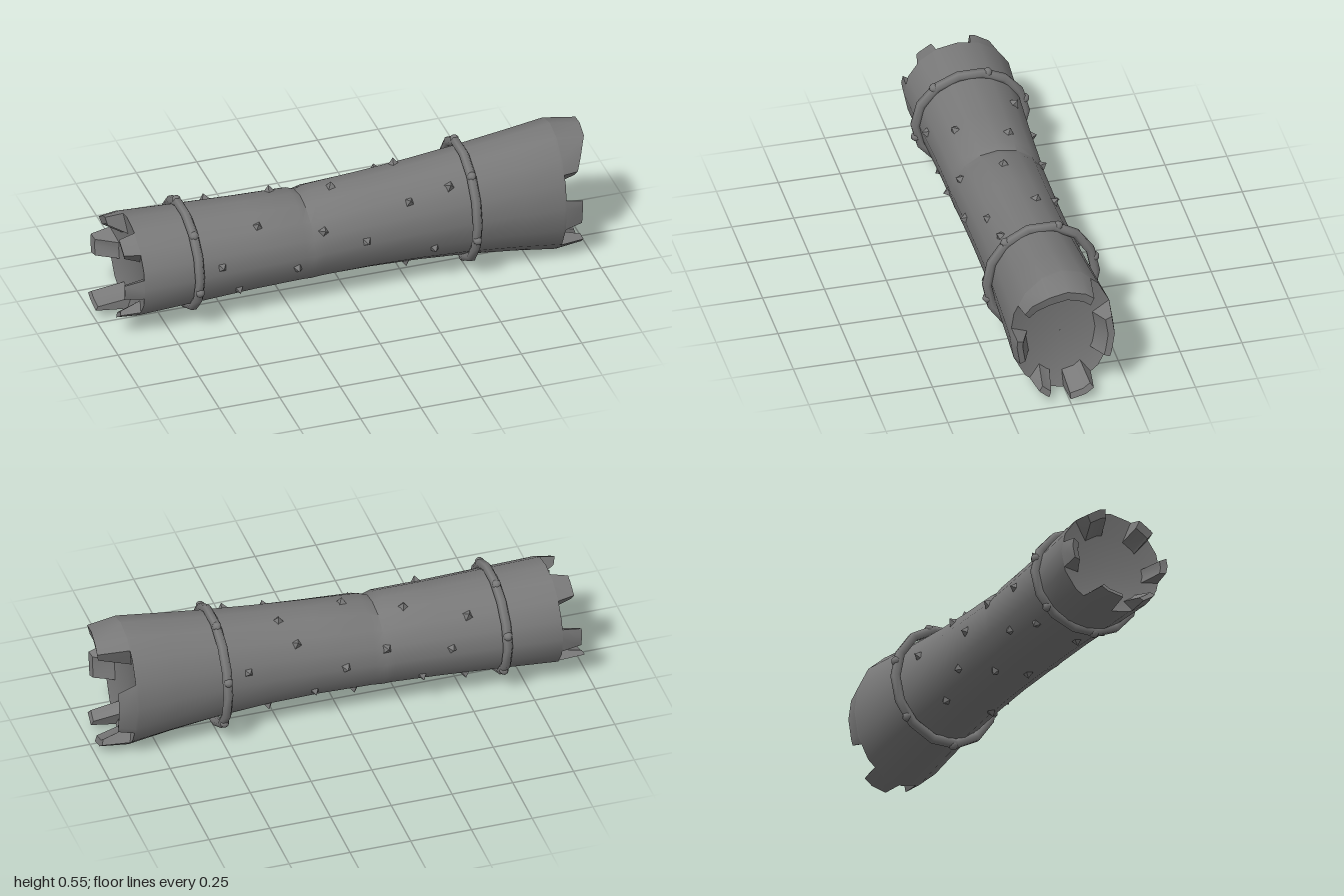
import * as THREE from 'three';
import { toCreasedNormals } from 'three/addons/utils/BufferGeometryUtils.js';

const STEP = 22.5; // 16 sides

// Hull stations: x, bottom, top, back z, front z
const STATIONS = [
  [-1.0, 0.035, 0.465, -0.235, 0.215], [-0.88, 0.038, 0.458, -0.228, 0.212],
  [-0.65, 0.052, 0.45, -0.212, 0.207], [-0.4, 0.066, 0.443, -0.196, 0.2],
  [-0.2, 0.073, 0.441, -0.186, 0.199], [-0.165, 0.073, 0.427, -0.184, 0.198],
  [-0.12, 0.074, 0.443, -0.181, 0.197], [0.1, 0.074, 0.461, -0.175, 0.195],
  [0.3, 0.066, 0.48, -0.174, 0.196], [0.5, 0.05, 0.503, -0.18, 0.2],
  [0.7, 0.025, 0.53, -0.19, 0.209], [0.86, 0.0, 0.553, -0.2, 0.217],
  [1.0, 0.0, 0.553, -0.2, 0.217],
];

function station(x) {
  let i = 0;
  while (i < STATIONS.length - 2 && x > STATIONS[i + 1][0]) i++;
  const a = STATIONS[i], b = STATIONS[i + 1];
  const t = (x - a[0]) / (b[0] - a[0]);
  const [, lo, hi, back, front] = a.map((v, k) => v + (b[k] - v) * t);
  return { cy: (lo + hi) / 2, ry: (hi - lo) / 2, cz: (back + front) / 2, rz: (front - back) / 2 };
}

// Point on the 16-sided hull; 0 degrees is the front, 90 the top.
// Inner outlines (f < 1) sit a little lower than the outer one.
function hullPoint(x, deg, f = 1) {
  const s = station(x);
  const cy = s.cy - Math.min(0.07 * (1 - f), 0.024);
  const at = (d) => {
    const r = THREE.MathUtils.degToRad(d);
    return new THREE.Vector3(x, cy + f * s.ry * Math.sin(r), s.cz + f * s.rz * Math.cos(r));
  };
  const k = Math.floor(deg / STEP) * STEP;
  return at(k).lerp(at(k + STEP), (deg - k) / STEP);
}

// Outward direction across the hull
function hullNormal(x, deg) {
  const s = station(x), r = THREE.MathUtils.degToRad(deg);
  return new THREE.Vector3(0, Math.sin(r) / s.ry, Math.cos(r) / s.rz).normalize();
}

function quadGeometry(quads, flip = false) {
  const pos = [];
  for (const [a, b, c, d] of quads) {
    const order = flip ? [a, c, b, a, d, c] : [a, b, c, a, c, d];
    for (const p of order) pos.push(p.x, p.y, p.z);
  }
  const g = new THREE.BufferGeometry();
  g.setAttribute('position', new THREE.Float32BufferAttribute(pos, 3));
  return toCreasedNormals(g, 0.6);
}

// Hollow-ended shaft: end disc, sloped rim, hull, rim, end disc
function shaftGeometry() {
  const rows = [[-0.85, 0.002], [-0.86, 0.68], [-0.875, 1],
    ...STATIONS.slice(2, -1).map((s) => [s[0], 1]),
    [0.87, 1], [0.85, 0.68], [0.84, 0.002]];
  const quads = [];
  for (let i = 0; i < rows.length - 1; i++) {
    const [x0, f0] = rows[i], [x1, f1] = rows[i + 1];
    for (let a = 0; a < 360; a += STEP) {
      quads.push([hullPoint(x0, a, f0), hullPoint(x1, a, f1),
        hullPoint(x1, a + STEP, f1), hullPoint(x0, a + STEP, f0)]);
    }
  }
  return quadGeometry(quads);
}

// Curved tooth on the rim between angles a0 and a1, its tip running from
// tip0 to tip1 and narrowed by an inset on each side
function toothGeometry(base, [a0, a1, tip0, tip1, inset0, inset1]) {
  const angles = [a0];
  for (let a = (Math.floor(a0 / STEP) + 1) * STEP; a < a1; a += STEP) angles.push(a);
  angles.push(a1);
  const dir = Math.sign(base);
  const loops = angles.map((a) => {
    const u = (a - a0) / (a1 - a0);
    const tip = THREE.MathUtils.lerp(tip0, tip1, u);
    const t = THREE.MathUtils.lerp(a0 + inset0, a1 - inset1, u);
    return [hullPoint(base, a), hullPoint(tip, t, 0.95),
      hullPoint(tip - dir * 0.008, t, 0.83), hullPoint(base - dir * 0.018, a, 0.67)];
  });
  const quads = [];
  for (let i = 0; i < loops.length - 1; i++) {
    const p = loops[i], q = loops[i + 1];
    for (let k = 0; k < 3; k++) quads.push([p[k], p[k + 1], q[k + 1], q[k]]);
  }
  quads.push([...loops[0]].reverse(), loops[loops.length - 1]);
  return quadGeometry(quads, dir < 0);
}

// Teeth: start angle, end angle, tip x at each, side insets.
// The first two on the right join into one broad tongue.
const RIGHT_TEETH = [
  [68, 125, 0.985, 1.0, 0, 4], [31, 68, 0.93, 0.985, 2, 0], [-22, 8, 0.94, 0.94, 3, 3],
  [157, 210, 0.94, 0.94, 5, 5], [235, 268, 0.98, 0.98, 3, 1], [289, 309, 0.97, 0.97, 3, 3],
];
const LEFT_TEETH = [
  [-12, 12, -0.955, -0.955, 3, 3], [40, 66, -0.94, -0.94, 3, 3], [103, 136, -0.945, -0.945, 4, 4],
  [168, 198, -0.955, -0.955, 3, 3], [236, 271, -1.0, -1.0, 4, 4], [297, 321, -0.955, -0.955, 3, 3],
];

// Spikes: x, angle
const SPIKES = [
  [-0.55, 9], [-0.47, -33], [-0.38, 50], [-0.235, -14], [-0.12, 29], [0.05, 4],
  [0.24, 40], [0.335, -25], [0.41, 46], [0.25, -70], [-0.14, -85], [-0.52, -80],
  [-0.51, 135], [-0.43, 172], [-0.27, 110], [-0.17, 157], [-0.04, 88], [0, 178],
  [0.19, 140], [0.24, 108], [0.4, 165], [-0.32, 215], [0.12, 212], [0.3, 232],
  [-0.06, 242], [-0.5, 228],
];

export function createModel() {
  const group = new THREE.Group();
  const material = new THREE.MeshStandardMaterial({ color: 0x797979 });
  const faceted = new THREE.MeshStandardMaterial({ color: 0x797979, flatShading: true });
  const add = (name, geometry, mat = material) => {
    const mesh = new THREE.Mesh(geometry, mat);
    mesh.name = name;
    group.add(mesh);
    return mesh;
  };

  add('shaft', shaftGeometry());
  for (const tooth of RIGHT_TEETH) add('rightEndTooth', toothGeometry(0.87, tooth));
  for (const tooth of LEFT_TEETH) add('leftEndTooth', toothGeometry(-0.875, tooth));

  // Loose bands with rivets: x, centre y, half height, half depth
  for (const [x, cy, ry, rz] of [[-0.65, 0.255, 0.207, 0.222], [0.5, 0.273, 0.24, 0.219]]) {
    const onBand = (deg, grow = 0) => {
      const r = THREE.MathUtils.degToRad(deg);
      return new THREE.Vector3(x, cy + (ry + grow) * Math.sin(r), (rz + grow) * Math.cos(r));
    };
    const points = Array.from({ length: 14 }, (_, i) => onBand((i * 360) / 14));
    const curve = new THREE.CatmullRomCurve3(points, true);
    add('band', new THREE.TubeGeometry(curve, 14, 0.02, 6, true));
    for (const deg of [-15, 50, 108, 165, 222, 280]) {
      add('bandRivet', new THREE.SphereGeometry(0.019, 8, 5)).position.copy(onBand(deg, 0.006));
    }
  }

  // Low four-sided spikes scattered over the shaft
  const up = new THREE.Vector3(0, 1, 0);
  SPIKES.forEach(([x, deg], i) => {
    const spike = add('spike', new THREE.ConeGeometry(0.024, 0.028, 4).rotateY(Math.PI / 4 + (i % 5) * 0.12), faceted);
    const n = hullNormal(x, deg);
    spike.position.copy(hullPoint(x, (deg + 360) % 360)).addScaledVector(n, 0.009);
    spike.quaternion.setFromUnitVectors(up, n);
  });
  return group;
}
